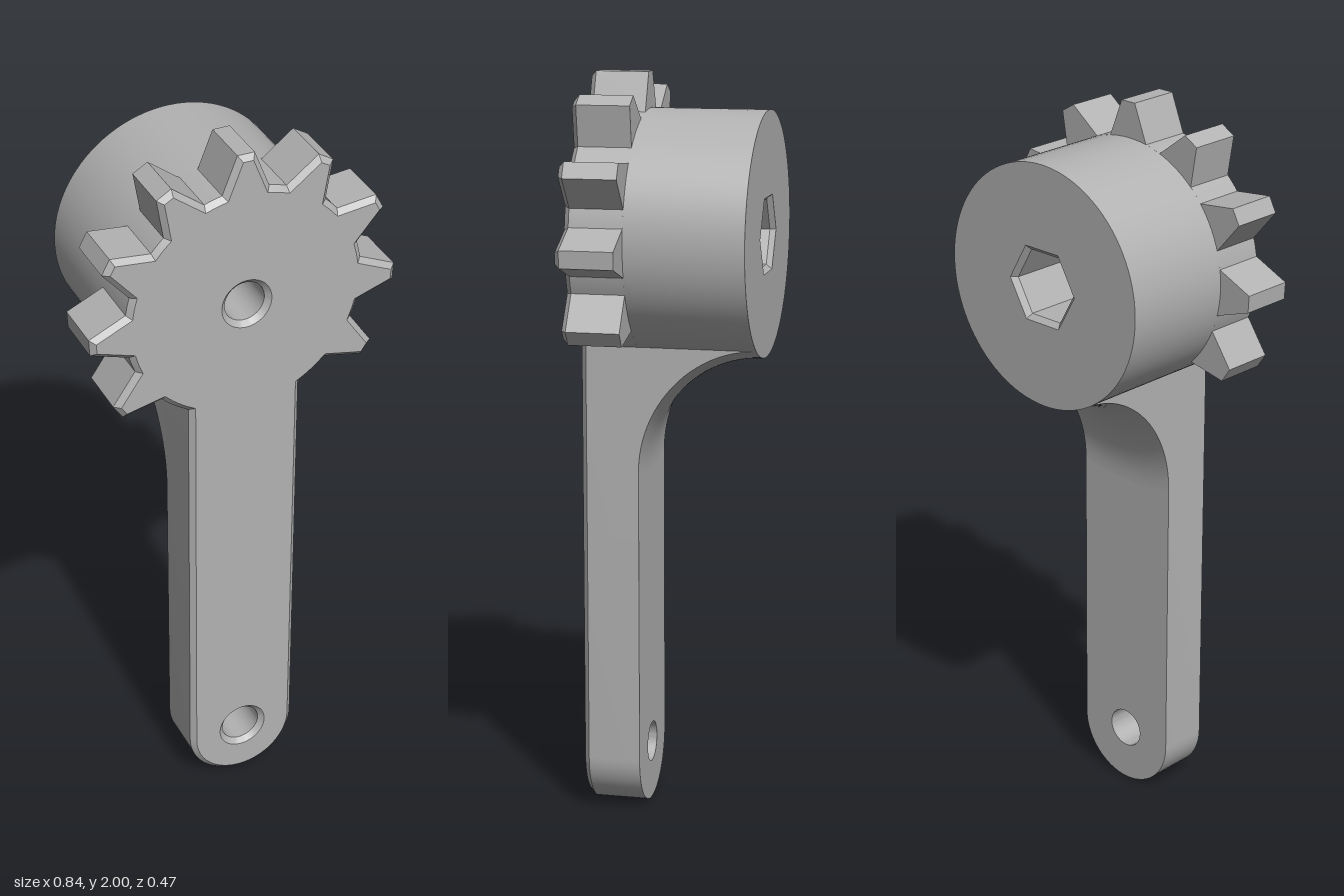
import * as THREE from 'three';
import { toCreasedNormals } from 'three/addons/utils/BufferGeometryUtils.js';

const FRONT = 0.235, BACK = 0.08, REAR = -0.235, BEVEL = 0.014;
const HUB_Y = 1.58, HUB_R = 0.325, ARM = 0.155, PIVOT_Y = 0.16, HOLE_R = 0.055;
const RAD = Math.PI / 180;

const polar = (cy, r, a) => new THREE.Vector2(r * Math.cos(a), cy + r * Math.sin(a));
const circle = (cy, r, n = 48) =>
  Array.from({ length: n }, (_, i) => polar(cy, r, (i / n) * Math.PI * 2));

// Counter-clockwise outline of arm and toothed head
function makeOutline() {
  const pts = [];
  for (let i = 0; i <= 32; i++) pts.push(polar(ARM, ARM, Math.PI + (i / 32) * Math.PI));
  const arc = (from, to) => {
    for (let i = 0; i <= 4; i++) pts.push(polar(HUB_Y, HUB_R, from + ((to - from) * i) / 4));
  };
  const neck = -Math.acos(ARM / HUB_R), half = Math.asin(0.063 / HUB_R);
  const tip = Math.atan(0.023 / 0.42), tipR = Math.hypot(0.42, 0.023);
  let from = neck;
  for (let k = -4; k <= 4; k++) {
    const a = (90 + 31 * k) * RAD;
    arc(from, a - half);
    pts.push(polar(HUB_Y, tipR, a - tip), polar(HUB_Y, tipR, a + tip));
    from = a + half;
  }
  arc(from, Math.PI - neck);
  return pts;
}

// Move every edge of a counter-clockwise loop inwards by d
function inset(pts, d) {
  const n = pts.length;
  const normal = (a, b) => new THREE.Vector2(a.y - b.y, b.x - a.x).normalize();
  return pts.map((p, i) => {
    const n1 = normal(pts[(i + n - 1) % n], p), n2 = normal(p, pts[(i + 1) % n]);
    return n1.clone().add(n2).multiplyScalar(d / (1 + n1.dot(n2))).add(p);
  });
}

// Wall through a series of [loop, z]; rising z faces outwards, falling z inwards
function wall(rings, crease = 25) {
  const pos = [];
  for (let r = 0; r < rings.length - 1; r++) {
    const [a, za] = rings[r], [b, zb] = rings[r + 1];
    for (let i = 0; i < a.length; i++) {
      const j = (i + 1) % a.length;
      pos.push(a[i].x, a[i].y, za, a[j].x, a[j].y, za, b[j].x, b[j].y, zb);
      pos.push(a[i].x, a[i].y, za, b[j].x, b[j].y, zb, b[i].x, b[i].y, zb);
    }
  }
  const g = new THREE.BufferGeometry();
  g.setAttribute('position', new THREE.Float32BufferAttribute(pos, 3));
  return toCreasedNormals(g, crease * RAD);
}

// Flat face with holes, facing forwards or backwards (outlines are symmetric in x)
function face(outline, holes, z, backwards = false) {
  const shape = new THREE.Shape(outline);
  holes.forEach((h) => shape.holes.push(new THREE.Path(h)));
  const g = new THREE.ShapeGeometry(shape);
  if (backwards) g.rotateY(Math.PI);
  return g.translate(0, 0, z);
}

export function createModel() {
  const model = new THREE.Group();
  const grey = new THREE.MeshStandardMaterial({ color: 0xb2b2b2 });
  grey.name = 'plain grey';
  const group = (name) => {
    const g = new THREE.Group();
    g.name = name;
    model.add(g);
    return g;
  };
  const add = (parent, name, geometry) => {
    const m = new THREE.Mesh(geometry, grey);
    m.name = name;
    parent.add(m);
  };

  // Arm and toothed head, bevelled along the front edge
  const plate = group('toothedLever');
  const outline = makeOutline(), rim = inset(outline, BEVEL);
  const centres = [HUB_Y, PIVOT_Y];
  add(plate, 'leverEdge', wall([[outline, BACK], [outline, FRONT - BEVEL], [rim, FRONT]]));
  add(plate, 'leverFront', face(rim, centres.map((y) => circle(y, HOLE_R + BEVEL)), FRONT));
  add(plate, 'leverBack', face(outline, centres.map((y) => circle(y, HOLE_R)), BACK, true));
  for (const y of centres) {
    add(plate, y === HUB_Y ? 'hubBore' : 'pivotBore', wall([
      [circle(y, HOLE_R + BEVEL), FRONT],
      [circle(y, HOLE_R), FRONT - BEVEL],
      [circle(y, HOLE_R), BACK],
    ]));
  }

  // Round hub with a hexagonal pocket at the rear
  const hub = group('hub');
  const hubLoop = circle(HUB_Y, HUB_R, 96);
  const hexOuter = circle(HUB_Y, 0.115, 6), hexInner = circle(HUB_Y, 0.1, 6);
  add(hub, 'hubSide', wall([[hubLoop, REAR], [hubLoop, BACK]]));
  add(hub, 'hubRear', face(hubLoop, [hexOuter], REAR, true));
  // Pocket walls run from the rear forwards, so the loops are reversed
  const flip = (loop) => [...loop].reverse();
  add(hub, 'hexPocket', wall([
    [flip(hexOuter), REAR], [flip(hexInner), REAR + BEVEL], [flip(hexInner), BACK],
  ]));

  // Concave web blending arm into hub: an arc swept around the hub axis, cut to the arm width
  const rings = [], R = 0.315;
  for (let i = 0; i <= 24; i++) {
    const t = (i / 24) * (Math.PI / 2);
    const radius = HUB_Y - (0.94 + R * Math.cos(t));
    const loop = [new THREE.Vector2(ARM, 1.3), new THREE.Vector2(-ARM, 1.3)];
    for (let k = 0; k <= 16; k++) {
      const x = ARM * (k / 8 - 1);
      loop.push(new THREE.Vector2(x, HUB_Y - Math.sqrt(radius * radius - x * x)));
    }
    rings.push([loop, REAR + R * Math.sin(t)]);
  }
  add(model, 'curvedWeb', wall(rings));

  return model;
}
